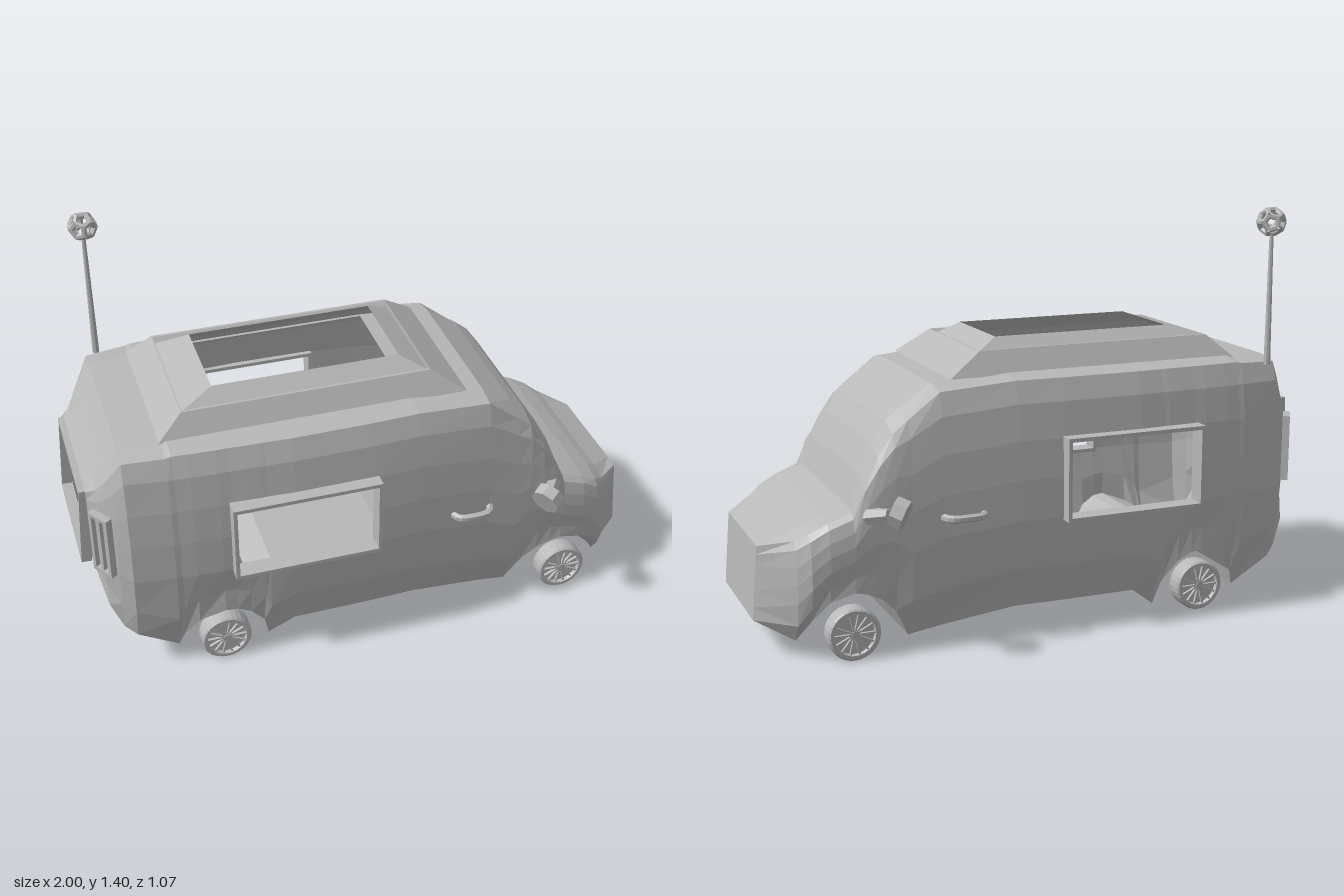
import * as THREE from 'three';

const paint = new THREE.MeshStandardMaterial({ color: 0xb8b8b8, side: THREE.DoubleSide });
paint.name = 'plain grey';

// Flat-shaded mesh of any geometry
function part(name, geometry, parent, position = [0, 0, 0]) {
  const g = geometry.index ? geometry.toNonIndexed() : geometry;
  g.computeVertexNormals();
  const mesh = new THREE.Mesh(g, paint);
  mesh.name = name;
  mesh.position.set(...position);
  parent.add(mesh);
  return mesh;
}

// Joins closed rings of points; skip(i, k) leaves openings, cap closes the last ring
function loft(rings, skip = () => false, cap = false) {
  const pos = [];
  const n = rings[0].length;
  rings.slice(0, -1).forEach((ring, i) => {
    for (let k = 0; k < n; k++) {
      if (skip(i, k)) continue;
      const j = (k + 1) % n, next = rings[i + 1];
      pos.push(...ring[k], ...next[k], ...next[j], ...ring[k], ...next[j], ...ring[j]);
    }
  });
  if (cap) {
    const last = rings[rings.length - 1];
    const mid = [0, 1, 2].map(c => last.reduce((s, p) => s + p[c], 0) / n);
    last.forEach((p, k) => pos.push(...mid, ...last[(k + 1) % n], ...p));
  }
  const g = new THREE.BufferGeometry();
  g.setAttribute('position', new THREE.Float32BufferAttribute(pos, 3));
  return g;
}

// Rectangular frame in the xy plane, extruded towards +z
function frame(w, h, border, depth) {
  const rect = (S, a, b) => new S([[-a, -b], [a, -b], [a, b], [-a, b]].map(p => new THREE.Vector2(...p)));
  const shape = rect(THREE.Shape, w / 2, h / 2);
  shape.holes.push(rect(THREE.Path, w / 2 - border, h / 2 - border));
  return new THREE.ExtrudeGeometry(shape, { depth, bevelEnabled: false });
}

// Round bar between two points
function rod(name, a, b, r1, r2, parent, sides = 6) {
  const d = new THREE.Vector3().subVectors(b, a);
  const m = part(name, new THREE.CylinderGeometry(r2, r1, d.length(), sides), parent);
  m.position.addVectors(a, b).multiplyScalar(0.5);
  m.quaternion.setFromUnitVectors(new THREE.Vector3(0, 1, 0), d.normalize());
  return m;
}

// Stations along the van: x, underside, roof, half width
const STATIONS = [
  [-0.96, 0.41, 0.70, 0.24], [-0.93, 0.27, 0.745, 0.30], [-0.89, 0.18, 0.81, 0.345], [-0.85, 0.15, 0.88, 0.38],
  [-0.71, 0.06, 0.885, 0.40], [-0.69, 0.12, 0.89, 0.40], [-0.64, 0.19, 0.89, 0.405], [-0.55, 0.225, 0.89, 0.41],
  [-0.51, 0.22, 0.89, 0.41], [-0.46, 0.19, 0.89, 0.413], [-0.41, 0.12, 0.89, 0.415], [-0.39, 0.03, 0.89, 0.415],
  [-0.30, 0.10, 0.89, 0.42], [-0.02, 0.10, 0.89, 0.417], [0.14, 0.10, 0.89, 0.41], [0.40, 0.06, 0.87, 0.395],
  [0.51, 0.04, 0.80, 0.392], [0.56, 0.14, 0.76, 0.39], [0.61, 0.19, 0.69, 0.388], [0.66, 0.215, 0.60, 0.386],
  [0.70, 0.225, 0.50, 0.385], [0.78, 0.20, 0.47, 0.38], [0.84, 0.13, 0.44, 0.37], [0.88, 0.06, 0.415, 0.34],
  [0.98, 0.12, 0.37, 0.22],
];

function section([x, low, top, w], i) {
  const end = i === 0 || i === STATIONS.length - 1;
  const edge = top - (end ? 0 : x > 0.4 && x < 0.7 ? 0.03 : 0.015);
  const wide = [0.79 + 0.8 * low, 0.965, 1, 1, 0.985, 0.95, 0.89];
  const side = [0.1, 0, 0.41, 0.55, 0.68, 0.8, 0.89].map((row, k) => {
    let y = top > 0.87 ? row : low + (top - low) * (row - 0.1) / 0.79;
    if (k === 0) y = low;
    if (k === 1) y = low + ((top > 0.87 ? 0.41 : low + (top - low) * 0.39) - low) * 0.45;
    if (k === 6) y = edge;
    const px = x > 0.95 ? x + (top - y) * 0.08 : x;
    return [px, y, w * (end ? 0.95 : wide[k])];
  });
  side.push([x, top, Math.min(0.27, w * 0.7)]);
  return [...side, ...side.slice().reverse().map(([a, b, c]) => [a, b, -c])];
}

function wheel(x, s) {
  const g = new THREE.Group();
  g.name = 'wheel';
  const profile = [[0, -0.033], [0.08, -0.033], [0.088, -0.025], [0.088, 0.027], [0.082, 0.034], [0.07, 0.034], [0.067, 0.02], [0, 0.02]];
  const tyre = new THREE.LatheGeometry(profile.map(p => new THREE.Vector2(...p)), 28);
  part('tyre', tyre.rotateX(Math.PI / 2), g);
  for (let i = 0; i < 14; i++) {
    const a = i / 14 * Math.PI * 2;
    const spoke = part('spoke', new THREE.BoxGeometry(0.058, 0.006, 0.012), g, [Math.cos(a) * 0.04, Math.sin(a) * 0.04, 0.024]);
    spoke.rotation.z = a;
  }
  part('hub', new THREE.CylinderGeometry(0.013, 0.013, 0.014, 12).rotateX(Math.PI / 2), g, [0, 0, 0.026]);
  g.position.set(x, 0.09, s * 0.358);
  if (s < 0) g.rotation.y = Math.PI;
  return g;
}

export function createModel() {
  const van = new THREE.Group();
  van.name = 'van';
  const V = (x, y, z) => new THREE.Vector3(x, y, z);
  const root = new THREE.Group();
  root.name = 'vanParts';
  root.position.z = -0.011;
  van.add(root);

  // Hollow body with side window, rear window and roof openings
  const within = (i, a, b) => STATIONS[i][0] >= a && STATIONS[i + 1][0] <= b;
  part('body', loft(STATIONS.map(section), (i, k) =>
    (within(i, -0.51, -0.02) && [2, 3, 11, 12].includes(k)) || (within(i, -0.51, 0.14) && k === 7), true), root);

  // Stepped roof with an open hatch
  const loops = [[-0.72, 0.34, 0.29, 0.88], [-0.63, 0.22, 0.245, 0.96], [-0.625, 0.222, 0.235, 0.96],
    [-0.625, 0.222, 0.22, 0.943], [-0.51, 0.135, 0.168, 0.99]];
  part('raisedRoof', loft(loops.map(([a, b, z, y]) => [[b, y, z], [a, y, z], [a, y, -z], [b, y, -z]])), root);

  for (const s of [1, -1]) {
    // Side window frames
    part('sideWindowFrame', frame(0.51, 0.285, 0.013, 0.065), root, [-0.265, 0.543, s > 0 ? 0.392 : -0.457]);

    // Wheels
    for (const x of [-0.55, 0.71]) root.add(wheel(x, s));

    // Door handles
    const grip = new THREE.CatmullRomCurve3([V(0.265, 0.45, s * 0.39), V(0.28, 0.45, s * 0.425), V(0.335, 0.45, s * 0.434), V(0.39, 0.45, s * 0.425), V(0.405, 0.45, s * 0.39)]);
    part('doorHandle', new THREE.TubeGeometry(grip, 12, 0.013, 6), root);

    // Wing mirrors
    rod('mirrorArm', V(0.65, 0.475, s * 0.37), V(0.605, 0.495, s * 0.445), 0.03, 0.02, root);
    const head = part('mirrorHead', new THREE.CylinderGeometry(0.052, 0.052, 0.045, 8).rotateZ(Math.PI / 2), root, [0.583, 0.507, s * 0.48]);
    head.rotation.set(0, s * 0.6, 0.35);

    // Slatted rear lamps on the back corners
    const lamp = new THREE.Group();
    lamp.name = 'rearLamp';
    part('lampFrame', frame(0.085, 0.235, 0.013, 0.025), lamp);
    part('lampBack', new THREE.BoxGeometry(0.08, 0.23, 0.008), lamp, [0, 0, 0.004]);
    part('lampDivider', new THREE.BoxGeometry(0.01, 0.22, 0.022), lamp, [0, 0, 0.011]);
    lamp.position.set(-0.921, 0.545, s * 0.308);
    lamp.rotation.y = s > 0 ? -0.98 : Math.PI + 0.98;
    root.add(lamp);
  }

  // Rear window frame, leaning with the back
  const rear = part('rearWindowFrame', frame(0.45, 0.29, 0.014, 0.035), root, [-0.955, 0.555, 0]);
  rear.rotation.set(0, -Math.PI / 2, 0);
  rear.rotateX(-0.06);

  // Aerial with an open cage ball
  rod('aerialPole', V(-0.81, 0.86, -0.364), V(-0.81, 1.32, -0.364), 0.012, 0.007, root, 8);
  const ball = new THREE.Group();
  ball.name = 'aerialBall';
  const e = new THREE.EdgesGeometry(new THREE.DodecahedronGeometry(0.043)).attributes.position;
  for (let i = 0; i < e.count; i += 2) {
    rod('cageBar', new THREE.Vector3().fromBufferAttribute(e, i), new THREE.Vector3().fromBufferAttribute(e, i + 1), 0.01, 0.01, ball);
  }
  ball.position.set(-0.81, 1.357, -0.36);
  root.add(ball);

  return van;
}
